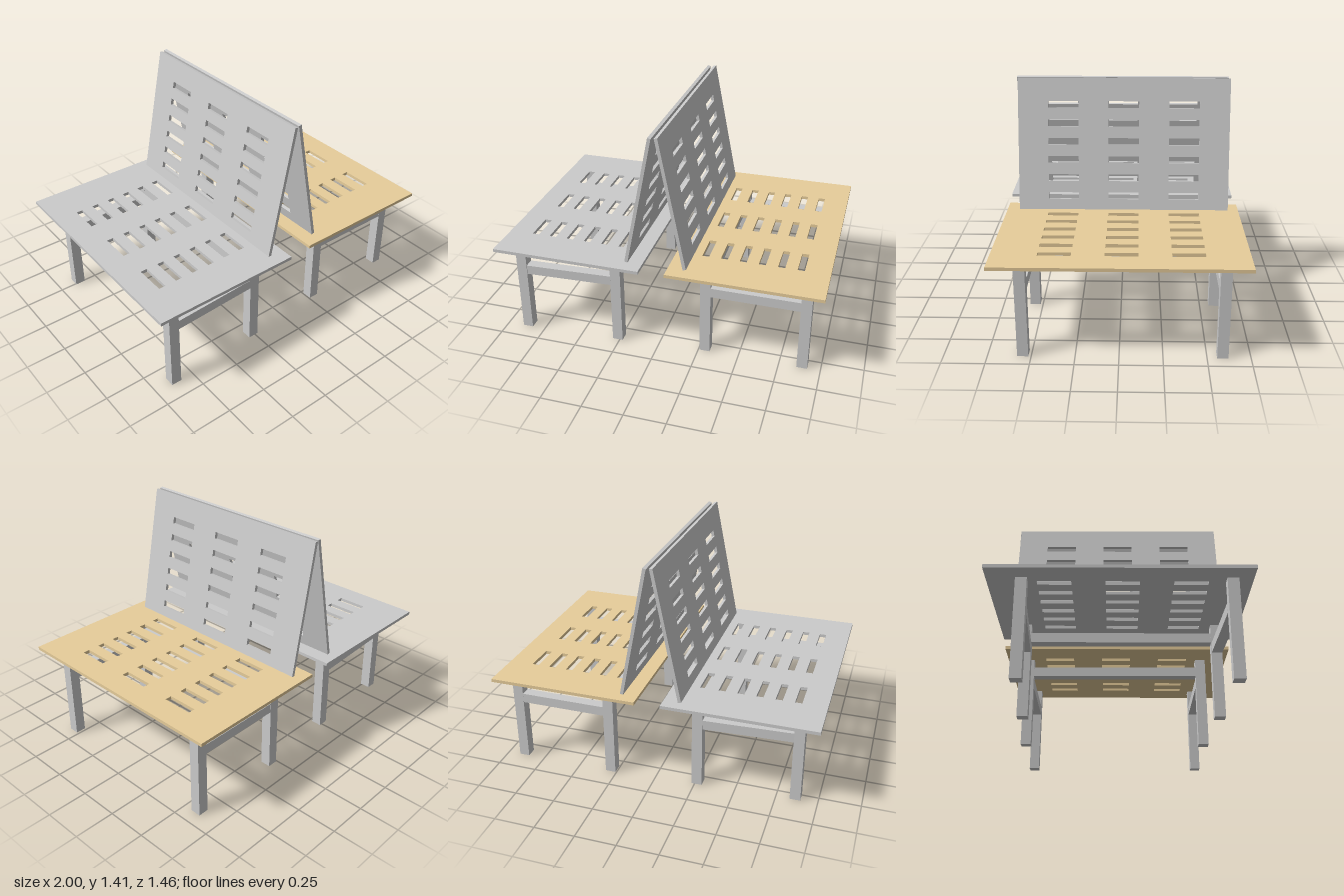
import * as THREE from 'three';

const grey = new THREE.MeshStandardMaterial({ color: 0xcccccc });
const wood = new THREE.MeshStandardMaterial({ color: 0xe8ce9b });

const T = 0.02;      // plate thickness
const LEG = 0.064;   // leg width
const LEG_TOP = 0.58;

// Flat plate lying on y = 0, x from 0 to length, centred on z, with 6 x 3 slots.
function slottedPlate(name, length, width, firstSlot, slotZ, material) {
  const rect = (target, x0, x1, y0, y1) => {
    target.moveTo(x0, y0);
    target.lineTo(x1, y0);
    target.lineTo(x1, y1);
    target.lineTo(x0, y1);
    target.closePath();
    return target;
  };
  const shape = rect(new THREE.Shape(), 0, length, -width / 2, width / 2);
  for (let i = 0; i < 6; i++) {
    for (let j = -1; j <= 1; j++) {
      const x = firstSlot + i * 0.114, y = j * 0.374 - slotZ;
      shape.holes.push(rect(new THREE.Path(), x - 0.021, x + 0.021, y - 0.094, y + 0.094));
    }
  }
  const geometry = new THREE.ExtrudeGeometry(shape, { depth: T, bevelEnabled: false });
  geometry.rotateX(-Math.PI / 2);
  const mesh = new THREE.Mesh(geometry, material);
  mesh.name = name;
  return mesh;
}

function leg(name, x, z) {
  const mesh = new THREE.Mesh(new THREE.BoxGeometry(LEG, LEG_TOP, LEG), grey);
  mesh.name = name;
  mesh.position.set(x, LEG_TOP / 2, z);
  return mesh;
}

// Square rail joining two legs, given as [x, z] centres.
function rail(name, a, b, y) {
  const dx = b[0] - a[0], dz = b[1] - a[1];
  const length = Math.hypot(dx, dz) - LEG;
  const mesh = new THREE.Mesh(new THREE.BoxGeometry(length, 0.06, LEG - 0.002), grey);
  mesh.name = name;
  mesh.position.set((a[0] + b[0]) / 2, y, (a[1] + b[1]) / 2);
  mesh.rotation.y = -Math.atan2(dz, dx);
  return mesh;
}

// One bench: four legs, end rails, a long inner rail and the slotted seat.
function bench(o) {
  const group = new THREE.Group();
  group.name = o.name;
  const { inner, outer } = o;
  for (const [label, k] of [['front', 0], ['back', 1]]) {
    const a = [inner.x, inner.z[k]], b = [outer.x, outer.z[k]];
    group.add(leg(label + 'InnerLeg', ...a), leg(label + 'OuterLeg', ...b));
    group.add(rail(label + 'EndRail', a, b, 0.43));
  }
  group.add(rail('longRail', [inner.x, inner.z[0]], [inner.x, inner.z[1]], 0.495));

  const seat = slottedPlate('seat', 0.922, 1.447, o.firstSlot, o.slotZ, o.material);
  seat.position.set(o.seatX, LEG_TOP, o.seatZ);
  group.add(seat);
  return group;
}

// Leaning backrest; side is +1 for left, -1 for right.
function backrest(name, side, z) {
  const length = 0.82, tilt = 0.196;
  const panel = slottedPlate('panel', length, 1.306, 0.087, 0, grey);
  panel.position.y = -T / 2;
  const group = new THREE.Group();
  group.name = name;
  group.add(panel);
  group.rotation.z = Math.PI / 2 + side * tilt;
  group.position.set(side * 0.177, 0.602, z);
  return group;
}

export function createModel() {
  const model = new THREE.Group();
  model.name = 'doubleBench';
  model.add(
    bench({
      name: 'leftBench', material: wood, seatX: 0.077, seatZ: -0.006,
      firstSlot: 0.18, slotZ: -0.007,
      inner: { x: 0.289, z: [0.548, -0.589] }, outer: { x: 0.889, z: [0.548, -0.589] },
    }),
    // The legs of this bench are slightly skewed.
    bench({
      name: 'rightBench', material: grey, seatX: -1, seatZ: 0.006,
      firstSlot: 0.17, slotZ: 0.016,
      inner: { x: -0.263, z: [0.588, -0.554] }, outer: { x: -0.865, z: [0.615, -0.525] },
    }),
    backrest('leftBackrest', 1, -0.012),
    backrest('rightBackrest', -1, -0.003),
  );
  return model;
}
